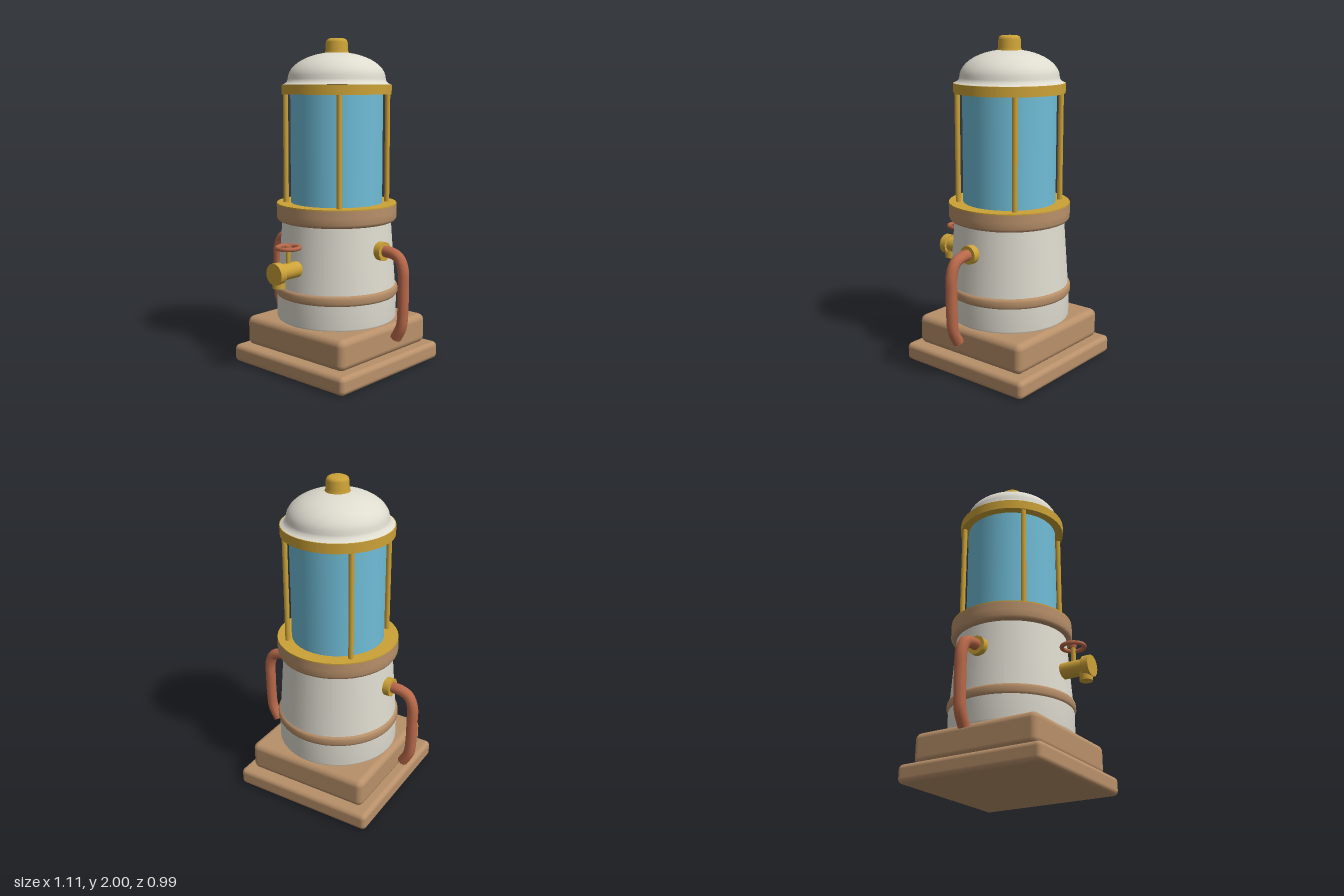
import * as THREE from 'three';
import { RoundedBoxGeometry } from 'three/addons/geometries/RoundedBoxGeometry.js';

const mat = (name, color) => new THREE.MeshStandardMaterial({ name, color });

export function createModel() {
  const wood = mat('tan wood', 0xb8906a);
  const enamel = mat('cream enamel', 0xdedbcf);
  const brass = mat('brass', 0xcca238);
  const copper = mat('copper', 0xb9694a);
  const glass = mat('blue glass', 0x70bdd7);

  const model = new THREE.Group();
  model.name = 'lantern';
  const tower = new THREE.Group();
  tower.name = 'tower';
  tower.position.z = -0.04;
  model.add(tower);

  const add = (parent, name, geometry, material, x = 0, y = 0, z = 0) => {
    const mesh = new THREE.Mesh(geometry, material);
    mesh.name = name;
    mesh.position.set(x, y, z);
    parent.add(mesh);
    return mesh;
  };
  // Profile points are [radius, height], from bottom to top
  const lathe = (points, segments = 40) =>
    new THREE.LatheGeometry(points.map(([r, y]) => new THREE.Vector2(r, y)), segments);
  const cyl = (r, h, segments = 24) => new THREE.CylinderGeometry(r, r, h, segments);

  // Stepped square base
  add(tower, 'baseSlab', new RoundedBoxGeometry(0.915, 0.11, 0.915, 3, 0.03), wood, 0, 0.055, 0);
  add(tower, 'basePlinth', new RoundedBoxGeometry(0.8, 0.185, 0.8, 3, 0.04), wood, 0, 0.202, 0);

  // Tapered body
  add(tower, 'bodyFoot', lathe([[0, 0.285], [0.36, 0.285], [0.371, 0.305], [0.371, 0.47]]), enamel);
  add(tower, 'body', lathe([[0.367, 0.47], [0.334, 0.92]]), enamel);
  add(tower, 'bodyBand', lathe([
    [0.36, 0.442], [0.372, 0.445], [0.38, 0.458], [0.38, 0.488], [0.374, 0.502], [0.36, 0.507],
  ]), wood);

  // Collar with brass top plate
  add(tower, 'collar', lathe([
    [0, 0.9], [0.345, 0.9], [0.36, 0.906], [0.369, 0.922], [0.369, 0.96], [0.369, 1.005],
  ]), wood);
  add(tower, 'collarPlate', cyl(0.368, 0.012, 40), brass, 0, 1.006, 0);

  // Glass chamber and its four bars
  add(tower, 'glass', cyl(0.281, 0.67, 32), glass, 0, 1.34, 0);
  for (let i = 0; i < 4; i++) {
    const a = Math.PI / 4 + i * Math.PI / 2;
    add(tower, 'cageBar', cyl(0.016, 0.67, 10), brass, 0.31 * Math.cos(a), 1.34, 0.31 * Math.sin(a));
  }

  // Roof ring, dome with flared lip, and knob
  add(tower, 'roofRing', cyl(0.332, 0.058, 40), brass, 0, 1.695, 0);
  const dome = [[0.328, 1.725], [0.312, 1.732], [0.3, 1.745]];
  for (let i = 0; i <= 12; i++) {
    const a = i / 12 * Math.PI / 2;
    dome.push([Math.max(0, 0.296 * Math.cos(a)), 1.758 + 0.16 * Math.sin(a)]);
  }
  add(tower, 'dome', lathe(dome), enamel);
  add(tower, 'knob', lathe([
    [0.074, 1.9], [0.073, 1.915], [0.067, 1.93], [0.066, 1.975], [0.06, 1.99], [0.045, 1.998], [0, 2],
  ], 24), brass);

  // Side handles, mirrored
  for (const s of [1, -1]) {
    const handle = new THREE.Group();
    handle.name = s > 0 ? 'leftHandle' : 'rightHandle';
    tower.add(handle);
    add(handle, 'handleFlange', cyl(0.056, 0.05), brass, s * 0.359, 0.75, 0).rotation.z = Math.PI / 2;
    const path = new THREE.CatmullRomCurve3([
      [0.35, 0.75], [0.43, 0.75], [0.49, 0.725], [0.52, 0.66], [0.523, 0.55], [0.522, 0.42],
      [0.512, 0.32], [0.472, 0.242],
    ].map(([x, y]) => new THREE.Vector3(s * x, y, 0)));
    add(handle, 'handleTube', new THREE.TubeGeometry(path, 32, 0.034, 10), copper);
    const end = add(handle, 'handleEnd', new THREE.CircleGeometry(0.034, 10), copper);
    end.position.copy(path.getPoint(1));
    end.quaternion.setFromUnitVectors(new THREE.Vector3(0, 0, 1), path.getTangent(1));
  }

  // Front tap
  const tap = new THREE.Group();
  tap.name = 'tap';
  model.add(tap);
  add(tap, 'tapPipe', cyl(0.048, 0.2), brass, 0, 0.645, 0.37).rotation.x = Math.PI / 2;
  add(tap, 'tapCap', cyl(0.064, 0.045), brass, 0, 0.643, 0.4745).rotation.x = Math.PI / 2;
  add(tap, 'tapSpout', cyl(0.038, 0.09), brass, 0, 0.602, 0.457);
  add(tap, 'tapStem', cyl(0.014, 0.12, 12), brass, 0, 0.73, 0.38);
  add(tap, 'tapWheel', new THREE.TorusGeometry(0.066, 0.013, 8, 24), copper, 0, 0.784, 0.38)
    .rotation.x = Math.PI / 2;
  add(tap, 'tapWheelHub', cyl(0.02, 0.018, 16), copper, 0, 0.786, 0.38);

  return model;
}
